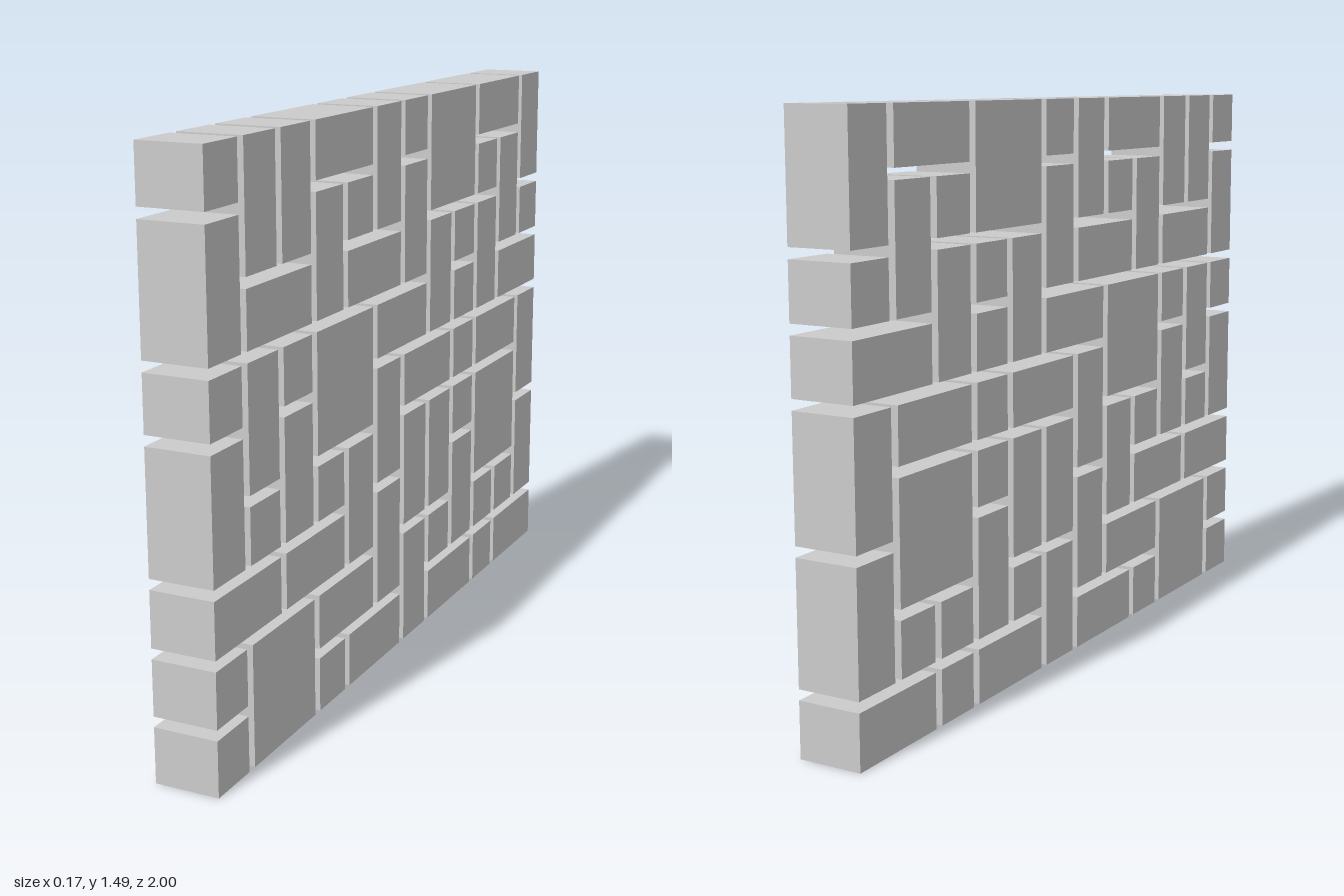
import * as THREE from 'three';

// Layout of the wall, top course first, running from z = +1 to z = -1.
// Each letter marks the top corner of a block; dots are cells it covers.
const LAYOUT = [
  '1VVH.V1Q.H.V',
  'V..V1.V..1V.',
  '.H..H..V1V.1',
  '1V1Q.H..1.H.',
  'V.V..VH.1H.V',
  '.1.1V.VV1Q..',
  'H.H..V..V..V',
  '1Q.H..V1.11.',
  '1..1H..H.1H.',
];

// Block kinds: name, cells along z, cells in height
const KINDS = {
  1: ['smallBlock', 1, 1],
  H: ['wideBlock', 2, 1],
  V: ['tallBlock', 1, 2],
  Q: ['largeBlock', 2, 2],
};

const PITCH = 0.1689; // cell spacing
const GAP = 0.0268; // open joint between blocks
const DEPTH = 0.169; // wall thickness

export function createModel() {
  const wall = new THREE.Group();
  wall.name = 'blockWall';
  const material = new THREE.MeshStandardMaterial({ color: 0xcccccc });
  const span = (cells) => cells * PITCH - GAP;

  // One shared box for each kind of block
  const boxes = {};
  for (const [key, [, w, h]] of Object.entries(KINDS)) {
    boxes[key] = new THREE.BoxGeometry(DEPTH, span(h), span(w));
  }

  // Lay the blocks course by course
  const top = span(LAYOUT.length);
  LAYOUT.forEach((course, row) => {
    [...course].forEach((key, col) => {
      if (key === '.') return;
      const [name, w, h] = KINDS[key];
      const block = new THREE.Mesh(boxes[key], material);
      block.name = name;
      block.position.set(
        0,
        top - row * PITCH - span(h) / 2,
        span(course.length) / 2 - col * PITCH - span(w) / 2,
      );
      wall.add(block);
    });
  });
  return wall;
}
